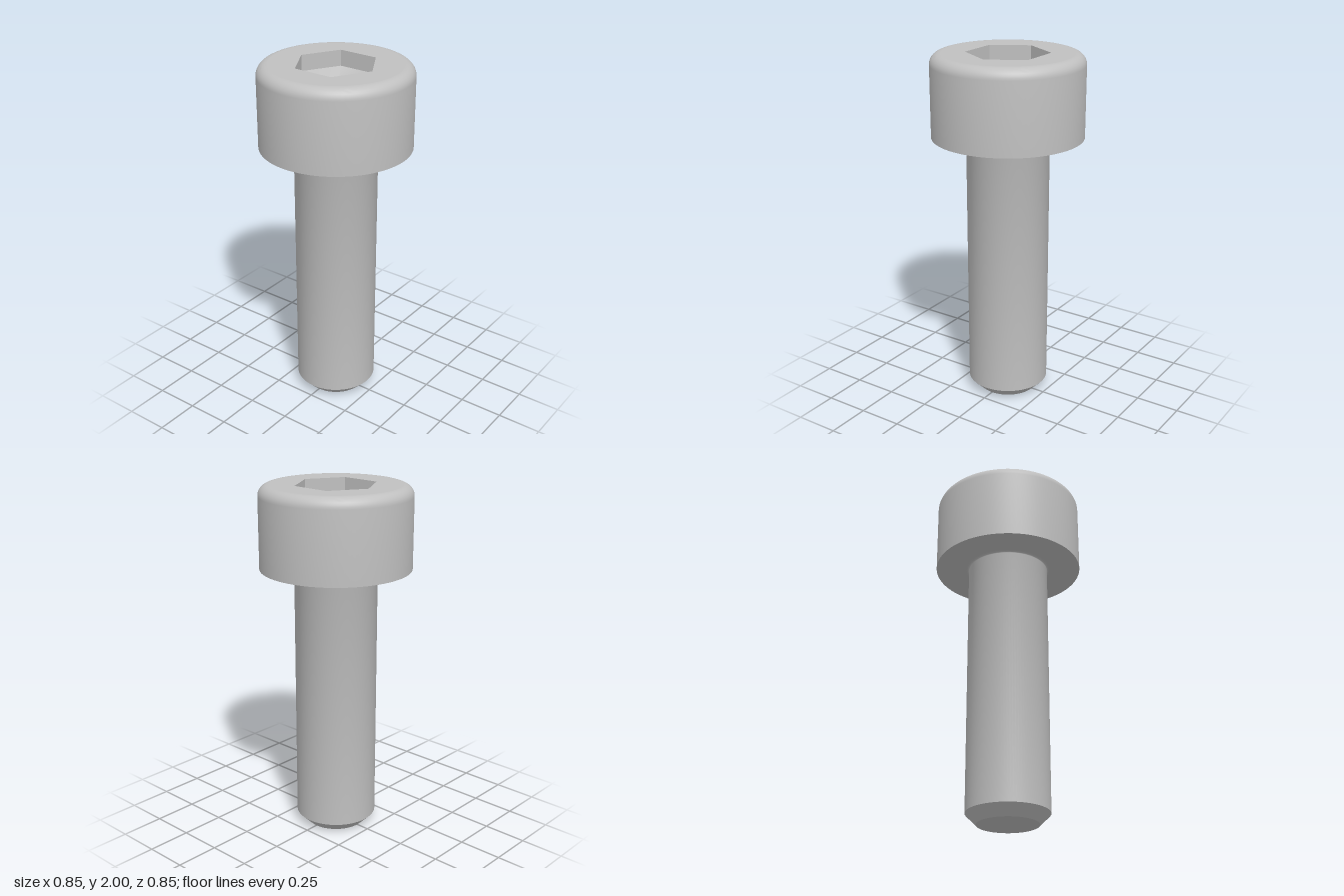
import * as THREE from 'three';
import { toCreasedNormals } from 'three/addons/utils/BufferGeometryUtils.js';

const SEGMENTS = 96;
const HEAD_R = 0.423, HEAD_BOTTOM = 1.538, TOP = 2, ROUND = 0.06;
const SHANK_R = 0.231, CHAMFER = 0.06, NECK = 0.014;
const HEX_R = 0.231, WALL_BOTTOM = 1.91, SOCKET_TIP = 1.78;

// Quarter arc of profile points [radius, height]
function arc(cx, cy, r, from, to, steps = 8) {
  return Array.from({ length: steps + 1 }, (_, i) => {
    const a = from + (to - from) * i / steps;
    return [cx + r * Math.cos(a), cy + r * Math.sin(a)];
  });
}

function revolve(profile, segments = SEGMENTS) {
  return new THREE.LatheGeometry(profile.map(([r, y]) => new THREE.Vector2(r, y)), segments);
}

export function createModel() {
  const group = new THREE.Group();
  const steel = new THREE.MeshStandardMaterial({ color: 0xc0c0c0 });
  steel.name = 'steel grey';

  function add(name, geometry) {
    const mesh = new THREE.Mesh(geometry, steel);
    mesh.name = name;
    group.add(mesh);
    return mesh;
  }

  // Shank with chamfered tip and a small fillet under the head
  add('shank', toCreasedNormals(revolve([
    [0, 0], [SHANK_R - CHAMFER, 0], [SHANK_R, CHAMFER],
    ...arc(SHANK_R + NECK, HEAD_BOTTOM - NECK, NECK, Math.PI, Math.PI / 2, 5),
  ]), 0.5));

  // Head: flat underside, straight side, rounded upper rim
  add('head', toCreasedNormals(revolve([
    [SHANK_R + NECK, HEAD_BOTTOM], [HEAD_R, HEAD_BOTTOM],
    ...arc(HEAD_R - ROUND, TOP - ROUND, ROUND, 0, Math.PI / 2),
  ]), 0.5));

  // Flat top with a hexagonal opening
  const top = new THREE.Shape();
  top.absarc(0, 0, HEAD_R - ROUND, 0, Math.PI * 2);
  const hexagon = Array.from({ length: 6 }, (_, i) => new THREE.Vector2(
    HEX_R * Math.sin(i * Math.PI / 3), HEX_R * Math.cos(i * Math.PI / 3)));
  top.holes.push(new THREE.Path(hexagon));
  add('headTop', new THREE.ShapeGeometry(top, SEGMENTS / 2)
    .rotateX(-Math.PI / 2).translate(0, TOP, 0));

  // Hexagonal socket: flat walls and a shallow pointed floor
  const walls = revolve([[HEX_R, TOP], [HEX_R, WALL_BOTTOM]], 6).toNonIndexed();
  walls.computeVertexNormals();
  add('socketWalls', walls);
  add('socketFloor', revolve([[HEX_R, WALL_BOTTOM], [0, SOCKET_TIP]], 6));

  return group;
}
